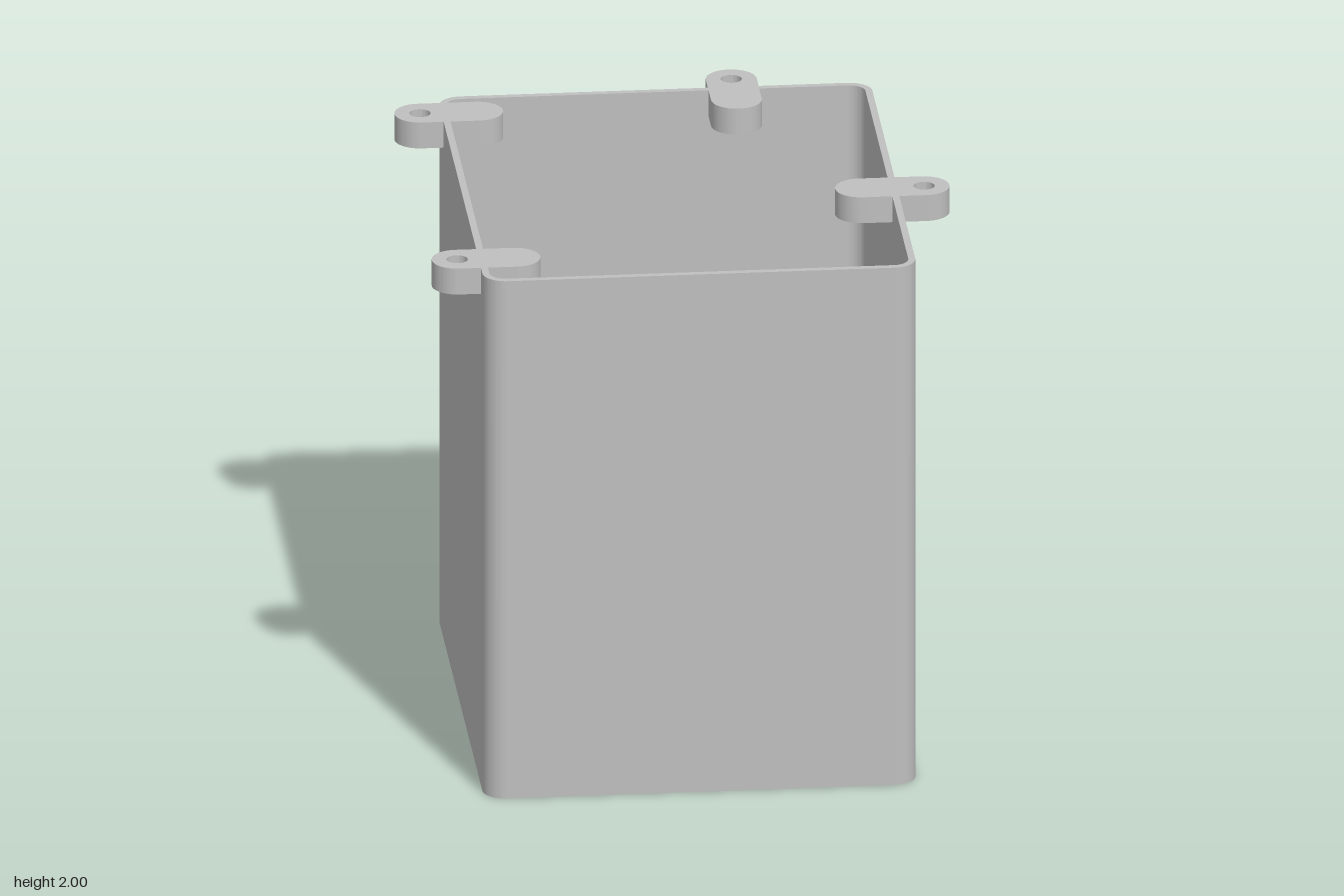
import * as THREE from 'three';
import { toCreasedNormals } from 'three/addons/utils/BufferGeometryUtils.js';

// Box extents, wall thickness and corner radius
const X0 = -0.793, X1 = 0.768, Z0 = -0.815, Z1 = 0.983, H = 2, T = 0.025, R = 0.083;
const HP = Math.PI / 2;

const grey = new THREE.MeshStandardMaterial({ color: 0xbfbfbf });
grey.name = 'light grey';

function extrude(shape, depth, curveSegments = 24) {
  return new THREE.ExtrudeGeometry(shape, { depth, bevelEnabled: false, curveSegments });
}

function addMesh(group, name, geometry) {
  const mesh = new THREE.Mesh(toCreasedNormals(geometry, 0.5), grey);
  mesh.name = name;
  group.add(mesh);
  return mesh;
}

// Plan shapes are drawn as (x, -z) and raised along y
const raise = (shape, y, height) => extrude(shape, height).rotateX(-HP).translate(0, y, 0);

function circleHole(x, y, r) {
  const path = new THREE.Path();
  path.absarc(x, y, r, 0, Math.PI * 2, true);
  return path;
}

// Four rounded corners of the plan, starting and ending on the right wall
function cornerArcs(inset) {
  const r = R - inset;
  return [[X1 - R, -Z0 - R, 0], [X0 + R, -Z0 - R, 1], [X0 + R, -Z1 + R, 2], [X1 - R, -Z1 + R, 3]]
    .map(([x, y, q]) => ({ x, y, r, a: q * HP }));
}

// Front, left and back walls with all four corners
function wallShape() {
  const shape = new THREE.Shape();
  shape.moveTo(X1, -Z0 - R);
  for (const c of cornerArcs(0)) shape.absarc(c.x, c.y, c.r, c.a, c.a + HP, false);
  for (const c of cornerArcs(T).reverse()) shape.absarc(c.x, c.y, c.r, c.a + HP, c.a, true);
  shape.closePath();
  return shape;
}

function floorShape() {
  const shape = new THREE.Shape();
  for (const c of cornerArcs(T)) shape.absarc(c.x, c.y, c.r, c.a, c.a + HP, false);
  shape.closePath();
  return shape;
}

// Mounting lug: a stadium with a screw hole at its outer end, pointing along +x
function lugGeometry(length) {
  const r = 0.0915;
  const shape = new THREE.Shape();
  shape.absarc(0, 0, r, -HP, HP, false);
  shape.absarc(-length, 0, r, HP, 3 * HP, false);
  shape.closePath();
  shape.holes.push(circleHole(0, 0, 0.038));
  return raise(shape, 1.9, 0.1);
}

export function createModel() {
  const model = new THREE.Group();
  model.name = 'enclosure';

  addMesh(model, 'walls', raise(wallShape(), 0, H));
  addMesh(model, 'floor', raise(floorShape(), 0, T));

  // Right wall, drawn as (-z, y), with the large opening and screw holes
  const cu = 0.13, cy = 0.7, opening = 0.553;
  const panel = new THREE.Shape([
    new THREE.Vector2(-Z1 + R, 0), new THREE.Vector2(-Z0 - R, 0),
    new THREE.Vector2(-Z0 - R, H), new THREE.Vector2(-Z1 + R, H),
  ]);
  panel.holes.push(circleHole(cu, cy, opening));
  for (const su of [-1, 1]) for (const sy of [-1, 1]) {
    panel.holes.push(circleHole(cu + su * 0.504, cy + sy * 0.503, 0.032));
  }
  panel.holes.push(circleHole(0.08, 1.513, 0.028), circleHole(-0.462, 0.139, 0.028));
  addMesh(model, 'rightWall', extrude(panel, T, 48).rotateY(HP).translate(X1 - T, 0, 0));

  // Raised collar around the opening
  const collar = new THREE.Shape();
  collar.absarc(cu, cy, 0.658, 0, Math.PI * 2, false);
  collar.holes.push(circleHole(cu, cy, opening));
  addMesh(model, 'openingCollar', extrude(collar, T + 0.01, 48).rotateY(HP).translate(X1 - T, 0, 0));

  // Lugs: hole position x, z, direction, length between end centres
  const lugs = [
    ['backLug', 0.274, -0.892, HP, 0.198],
    ['leftLug', 0.866, 0.203, 0, 0.229],
    ['rightBackLug', -0.87, -0.667, Math.PI, 0.208],
    ['rightFrontLug', -0.87, 0.754, Math.PI, 0.208],
  ];
  for (const [name, x, z, turn, length] of lugs) {
    const lug = addMesh(model, name, lugGeometry(length));
    lug.position.set(x, 0, z);
    lug.rotation.y = turn;
  }
  return model;
}
